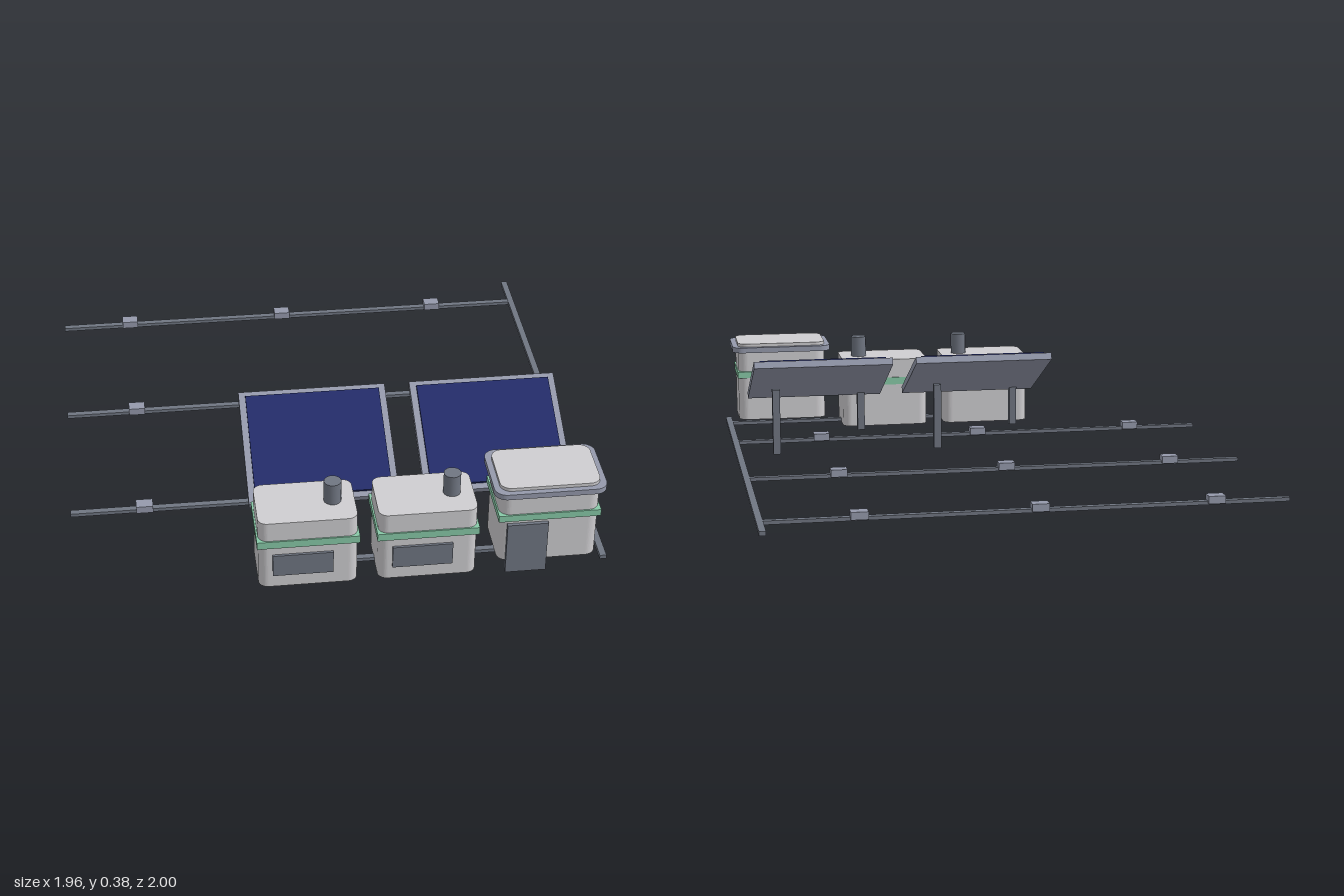
import * as THREE from 'three';

export function createModel() {
  const model = new THREE.Group();
  model.name = 'irrigationStation';

  const mat = (name, color) => {
    const m = new THREE.MeshStandardMaterial({ color });
    m.name = name;
    return m;
  };
  const wall = mat('pale grey wall', 0xcfced1);
  const metal = mat('light metal', 0x959aac);
  const dark = mat('dark metal', 0x707682);
  const green = mat('green band', 0x88caa8);
  const blue = mat('solar blue', 0x232c69);

  const add = (parent, name, geometry, material, x, y, z) => {
    const mesh = new THREE.Mesh(geometry, material);
    mesh.name = name;
    mesh.position.set(x, y, z);
    parent.add(mesh);
    return mesh;
  };
  // box given by its limits on each axis
  const box = (parent, name, material, x0, x1, y0, y1, z0, z1) =>
    add(parent, name, new THREE.BoxGeometry(x1 - x0, y1 - y0, z1 - z0), material,
      (x0 + x1) / 2, (y0 + y1) / 2, (z0 + z1) / 2);
  const group = (name) => {
    const g = new THREE.Group();
    g.name = name;
    model.add(g);
    return g;
  };

  // upright block with rounded vertical corners, standing on y = 0
  function roundedBlock(w, d, h, r) {
    const s = new THREE.Shape();
    const a = w / 2 - r, b = d / 2 - r;
    s.absarc(a, b, r, 0, Math.PI / 2);
    s.absarc(-a, b, r, Math.PI / 2, Math.PI);
    s.absarc(-a, -b, r, Math.PI, Math.PI * 1.5);
    s.absarc(a, -b, r, Math.PI * 1.5, Math.PI * 2);
    s.closePath();
    return new THREE.ExtrudeGeometry(s, { depth: h, bevelEnabled: false, curveSegments: 6 })
      .rotateX(-Math.PI / 2);
  }

  const rowZ = 0.857;

  // two pump housings with band, front panel and exhaust stack
  for (const x of [-0.13, 0.305]) {
    const g = group('pumpHousing');
    add(g, 'housingBody', roundedBlock(0.36, 0.235, 0.285, 0.035), wall, x, 0, rowZ);
    box(g, 'housingBand', green, x - 0.186, x + 0.186, 0.177, 0.207, rowZ - 0.123, rowZ + 0.123);
    box(g, 'frontPanel', dark, x - 0.13, x + 0.09, 0.055, 0.145, rowZ + 0.11, rowZ + 0.127);
    add(g, 'exhaustStack', new THREE.CylinderGeometry(0.032, 0.032, 0.1, 16), dark, x + 0.1, 0.32, rowZ);
  }

  // control cabin with roof rim and door
  const cabin = group('controlCabin');
  const cx = 0.745;
  add(cabin, 'cabinBody', roundedBlock(0.365, 0.238, 0.325, 0.04), wall, cx, 0.045, rowZ);
  add(cabin, 'roofRim', roundedBlock(0.41, 0.28, 0.022, 0.045), metal, cx, 0.335, rowZ);
  box(cabin, 'cabinBand', green, cx - 0.187, cx + 0.187, 0.225, 0.252, rowZ - 0.125, rowZ + 0.125);
  box(cabin, 'cabinDoor', dark, 0.59, 0.74, 0, 0.213, rowZ + 0.11, 0.99);

  // tilted solar panels on one rear and one front post each
  for (const x of [-0.04, 0.615]) {
    const g = group('solarPanel');
    const tilted = new THREE.Group();
    tilted.name = 'tiltedPanel';
    tilted.position.set(x, 0.262, 0.481);
    tilted.rotation.x = 0.445;
    g.add(tilted);
    add(tilted, 'panelFrame', new THREE.BoxGeometry(0.56, 0.028, 0.478), metal, 0, 0, 0);
    add(tilted, 'solarCells', new THREE.BoxGeometry(0.51, 0.012, 0.432), blue, 0, 0.018, 0);
    box(g, 'rearPost', dark, x + 0.18, x + 0.21, 0, 0.263, 0.253, 0.283);
    box(g, 'frontPost', dark, x - 0.21, x - 0.18, 0, 0.165, 0.66, 0.69);
  }

  // main pipe, side pipes and their emitters
  const pipes = group('pipework');
  box(pipes, 'mainPipe', dark, 0.951, 0.976, 0, 0.016, -1, 0.953);
  for (const z of [-0.843, -0.185, 0.47]) {
    box(pipes, 'sidePipe', dark, -0.98, 0.96, 0.001, 0.015, z - 0.0125, z + 0.0125);
    for (const x of [-0.7, -0.045, 0.61]) {
      box(pipes, 'emitter', metal, x - 0.032, x + 0.032, 0.006, 0.035, z - 0.024, z + 0.024);
    }
  }
  box(pipes, 'linkPipe', dark, -0.1, 0.96, 0.001, 0.015, rowZ - 0.0125, rowZ + 0.0125);

  return model;
}
